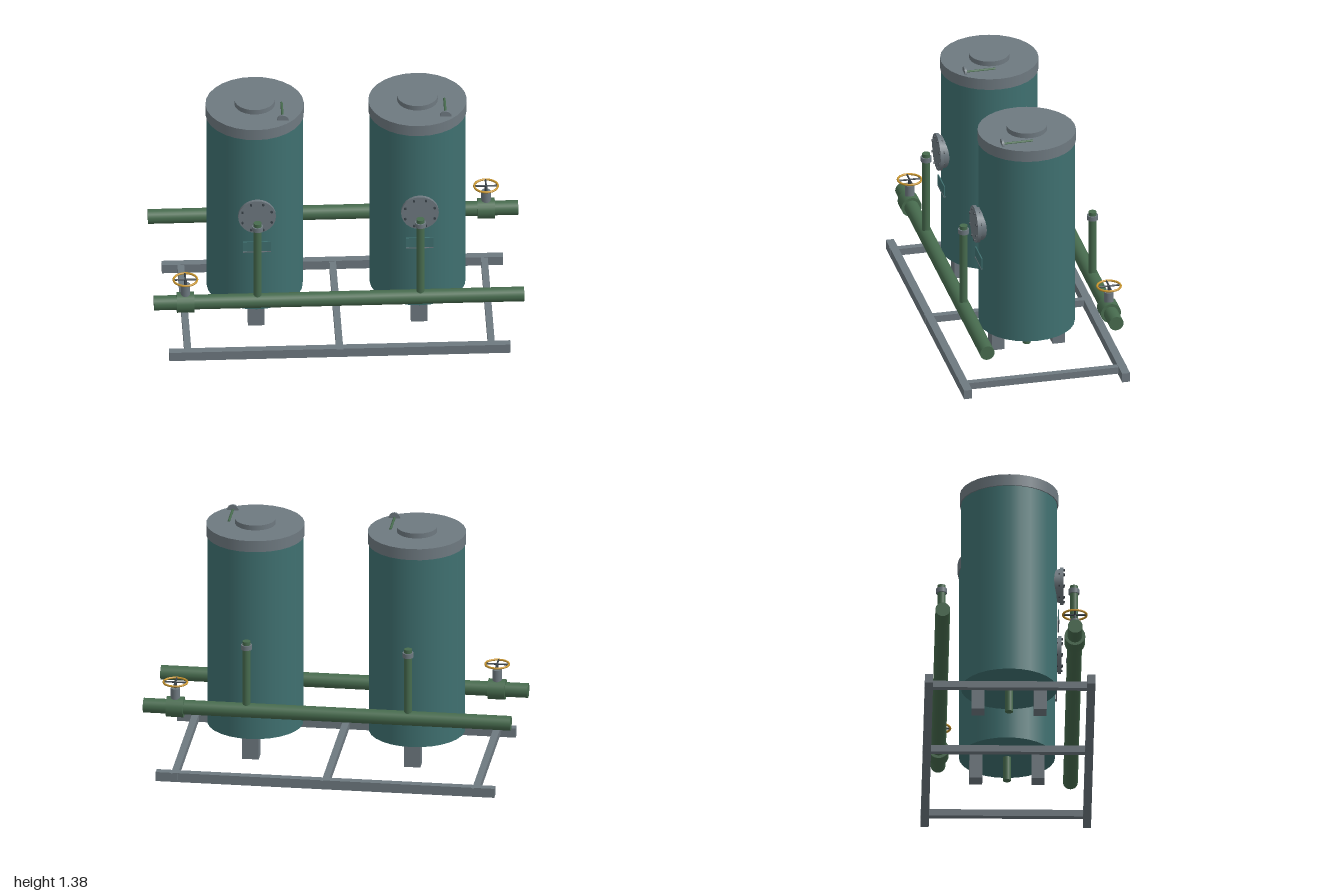
import * as THREE from 'three';

const mat = (name, color) => {
  const m = new THREE.MeshStandardMaterial({ color });
  m.name = name;
  return m;
};

export function createModel() {
  const teal = mat('tank teal', 0x3f7070);
  const steel = mat('steel grey', 0x6e7980);
  const green = mat('pipe green', 0x476b4e);
  const gold = mat('handwheel yellow', 0xc9962e);
  const dark = mat('dark steel', 0x3a434a);

  const model = new THREE.Group();
  model.name = 'twinTankSkid';

  const add = (parent, name, geo, material, x, y, z) => {
    const m = new THREE.Mesh(geo, material);
    m.name = name;
    m.position.set(x, y, z);
    parent.add(m);
    return m;
  };
  const box = (parent, name, material, w, h, d, x, y, z) =>
    add(parent, name, new THREE.BoxGeometry(w, h, d), material, x, y, z);
  // Cylinder along the given axis, centred at x, y, z
  const cyl = (parent, name, material, r, len, x, y, z, axis = 'y', seg = 20) => {
    const g = new THREE.CylinderGeometry(r, r, len, seg);
    if (axis === 'x') g.rotateZ(-Math.PI / 2);
    if (axis === 'z') g.rotateX(Math.PI / 2);
    return add(parent, name, g, material, x, y, z);
  };

  // Base frame
  const frame = new THREE.Group();
  frame.name = 'baseFrame';
  model.add(frame);
  for (const s of [-1, 1]) box(frame, 'longRail', steel, 1.844, 0.052, 0.044, 0, 0.026, s * 0.438);
  for (const x of [-0.82, 0, 0.82]) box(frame, 'crossBar', steel, 0.037, 0.038, 0.924, x, 0.031, 0);

  // Tanks with lid, manhole, nameplate, legs and drain
  for (const x of [-0.44, 0.44]) {
    const tank = new THREE.Group();
    tank.name = 'tank';
    tank.position.x = x;
    model.add(tank);
    cyl(tank, 'tankShell', teal, 0.26, 1.1, 0, 0.74, 0, 'y', 28);
    cyl(tank, 'lid', steel, 0.266, 0.064, 0, 1.312, 0, 'y', 28);
    cyl(tank, 'lidHatch', steel, 0.11, 0.03, 0, 1.357, 0, 'y', 24);
    cyl(tank, 'lidLever', green, 0.007, 0.17, 0.145, 1.345, 0.085, 'z', 10);
    cyl(tank, 'leverDisc', steel, 0.032, 0.012, 0.145, 1.343, 0.17, 'z', 16);

    cyl(tank, 'manholeNeck', steel, 0.09, 0.06, 0, 0.803, 0.247, 'z', 24);
    cyl(tank, 'manholeCover', steel, 0.102, 0.018, 0, 0.803, 0.284, 'z', 24);
    for (let i = 0; i < 8; i++) {
      const a = (i + 0.5) * Math.PI / 4;
      cyl(tank, 'manholeBolt', dark, 0.007, 0.034, 0.086 * Math.cos(a),
        0.803 + 0.086 * Math.sin(a), 0.284, 'z', 6);
    }

    box(tank, 'nameplate', teal, 0.15, 0.062, 0.006, 0, 0.597, 0.266);
    box(tank, 'nameplateLip', steel, 0.15, 0.006, 0.009, 0, 0.565, 0.266);

    for (const s of [-1, 1]) box(tank, 'leg', steel, 0.09, 0.15, 0.07, 0, 0.125, s * 0.168);
    cyl(tank, 'drainPipe', green, 0.022, 0.15, 0, 0.128, 0, 'y', 16);
  }

  // Header pipes, each with two risers and a handwheel valve
  const header = (name, y, z, valveX, stemTop, wheelY) => {
    const g = new THREE.Group();
    g.name = name;
    model.add(g);
    cyl(g, 'headerPipe', green, 0.04, 2, 0, y, z, 'x', 24);
    for (const x of [-0.44, 0.44]) {
      cyl(g, 'riser', green, 0.022, 0.802 - y, x, (0.802 + y) / 2, z, 'y', 16);
      cyl(g, 'riserCollar', steel, 0.03, 0.026, x, 0.769, z, 'y', 16);
    }
    cyl(g, 'valveBody', green, 0.056, 0.094, valveX, y, z, 'x', 20);
    cyl(g, 'valveBonnet', steel, 0.026, stemTop - y, valveX, (stemTop + y) / 2, z, 'y', 16);
    cyl(g, 'valveSpindle', dark, 0.008, wheelY - stemTop, valveX, (wheelY + stemTop) / 2, z, 'y', 10);
    const rim = new THREE.TorusGeometry(0.064, 0.006, 8, 28).rotateX(Math.PI / 2);
    add(g, 'handwheelRim', rim, gold, valveX, wheelY, z);
    for (const axis of ['x', 'z']) cyl(g, 'handwheelSpoke', dark, 0.005, 0.126, valveX, wheelY, z, axis, 8);
  };
  header('frontHeader', 0.305, 0.35, -0.83, 0.42, 0.45);
  header('backHeader', 0.4, -0.365, 0.827, 0.51, 0.543);

  return model;
}
